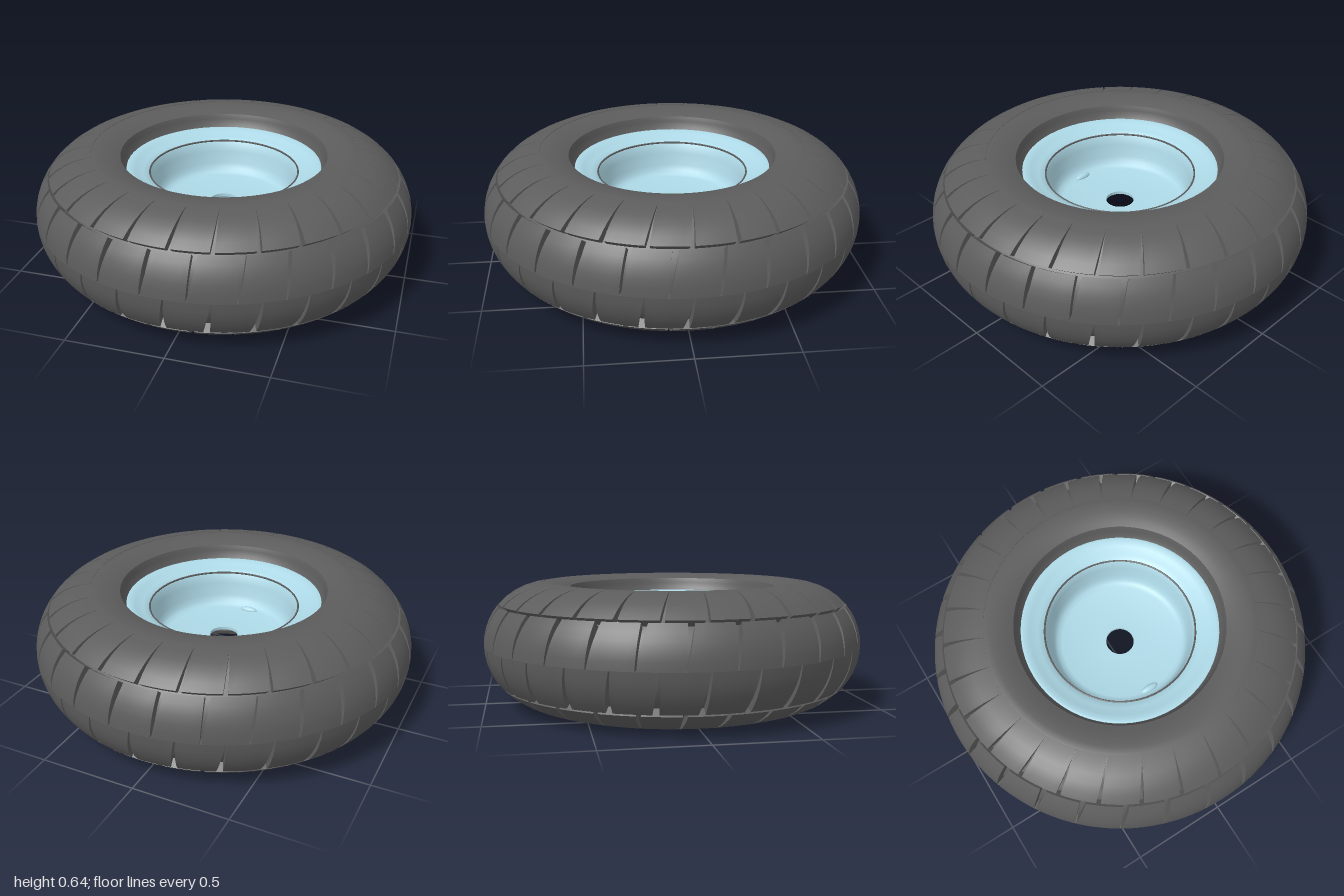
import * as THREE from 'three';
import { toCreasedNormals } from 'three/addons/utils/BufferGeometryUtils.js';

const MID = 0.32;      // height of the wheel's middle plane
const PITCHES = 28;    // tread blocks around the tyre
const rubber = new THREE.MeshStandardMaterial({ color: 0x5c5c5c });
const paint = new THREE.MeshStandardMaterial({ color: 0xadd8e6, side: THREE.DoubleSide });

// Point on the tyre's elliptical cross-section, sunk inwards by depth
const section = (a, depth = 0) => new THREE.Vector2(
  0.67 + (0.33 - depth) * Math.cos(a), MID + (0.32 - depth) * Math.sin(a));

// The tread is deepest round the outside and fades out on the sidewall
const treadDepth = a => 0.045 * THREE.MathUtils.clamp((1.5 - Math.abs(a)) / 0.6, 0, 1);

function add(parent, name, geometry, material) {
  const mesh = new THREE.Mesh(geometry, material);
  mesh.name = name;
  parent.add(mesh);
  return mesh;
}

// Mirror an upper half profile to the lower side
const mirrored = points => points.map(p => new THREE.Vector2(p.x, 2 * MID - p.y)).reverse();

// Curved tread block between section angles a0 and a1; the outermost grid ring is its skirt
function blockGeometry(a0, a1, theta, width, taper, slant) {
  const n = 5, m = n + 3, positions = [], index = [];
  for (let i = 0; i < m; i++) {
    for (let j = 0; j < m; j++) {
      const skirt = i === 0 || j === 0 || i === m - 1 || j === m - 1;
      const u = THREE.MathUtils.clamp((i - 1) / n, 0, 1);
      const v = THREE.MathUtils.clamp((j - 1) / n, 0, 1);
      const a = THREE.MathUtils.lerp(a0, a1, v);
      const half = (Math.PI / PITCHES) * (width - taper * v);
      const t = theta + (u * 2 - 1) * half + slant * v;
      const p = section(a, skirt ? treadDepth(a) + 0.006 : 0);
      positions.push(p.x * Math.sin(t), p.y, p.x * Math.cos(t));
      if (i < m - 1 && j < m - 1) {
        const k = i * m + j;
        // keep faces outward whichever way the section angle runs
        if (a1 > a0) index.push(k, k + m, k + m + 1, k, k + m + 1, k + 1);
        else index.push(k, k + m + 1, k + m, k, k + 1, k + m + 1);
      }
    }
  }
  const g = new THREE.BufferGeometry();
  g.setAttribute('position', new THREE.Float32BufferAttribute(positions, 3));
  g.setIndex(index);
  return toCreasedNormals(g, 0.7);
}

function buildTyre() {
  const tyre = new THREE.Group();
  tyre.name = 'tyre';

  // Carcass: sidewalls and tread base, closed by the bead and inner liner
  const half = [];
  for (let i = 0; i <= 22; i++) {
    const a = i / 22 * 1.96;
    half.push(section(a, treadDepth(a)));
  }
  half.push(new THREE.Vector2(0.535, 0.59), new THREE.Vector2(0.53, 0.56), new THREE.Vector2(0.505, 0.53));
  const outline = [...mirrored(half).slice(0, -1), ...half];
  outline.push(outline[0].clone());
  add(tyre, 'carcass', toCreasedNormals(new THREE.LatheGeometry(outline, 72), 0.6), rubber);

  // Tread rows, the lower side staggered by half a pitch
  const tread = new THREE.Group();
  tread.name = 'tread';
  tyre.add(tread);
  for (const side of [1, -1]) {
    for (let k = 0; k < PITCHES; k++) {
      const theta = (k + (side > 0 ? 0 : 0.5)) * 2 * Math.PI / PITCHES;
      const wide = k % 2 ? 0.99 : 0.95;
      add(tread, 'centreBlock',
        blockGeometry(0, side * 0.69, theta, wide, 0.12, side * 0.03), rubber);
      add(tread, 'shoulderBlock',
        blockGeometry(side * 0.73, side * 1.49, theta + Math.PI / PITCHES, wide - 0.08, -0.1, side * 0.03), rubber);
    }
  }
  return tyre;
}

function buildRim() {
  const rim = new THREE.Group();
  rim.name = 'rim';

  // Two dished sides sharing a centre disc with an axle hole
  const upper = [
    [0.50, 0.50], [0.52, 0.53], [0.515, 0.547], [0.50, 0.55], [0.47, 0.535], [0.43, 0.52], [0.40, 0.512],
    [0.39, 0.50], [0.38, 0.45], [0.365, 0.385], [0.355, 0.355], [0.34, 0.337], [0.315, 0.328], [0.075, 0.328],
  ].map(p => new THREE.Vector2(...p));
  const outline = [...upper, ...mirrored(upper)];
  outline.push(outline[0].clone());
  add(rim, 'wheelDish', toCreasedNormals(new THREE.LatheGeometry(outline, 60), 0.7), paint);

  // Dark seam where each flange meets its dish
  for (const side of [1, -1]) {
    const seam = add(rim, 'flangeSeam', new THREE.TorusGeometry(0.395, 0.005, 6, 60), rubber);
    seam.rotation.x = Math.PI / 2;
    seam.position.y = MID + side * 0.19;
  }

  // Valve boss on the disc near the wall
  const valve = add(rim, 'valve', new THREE.SphereGeometry(1, 16, 10), paint);
  valve.scale.set(0.05, 0.018, 0.02);
  valve.position.set(-0.01, 0.33, 0.31);
  return rim;
}

export function createModel() {
  const wheel = new THREE.Group();
  wheel.name = 'wheel';
  wheel.add(buildTyre(), buildRim());
  return wheel;
}
